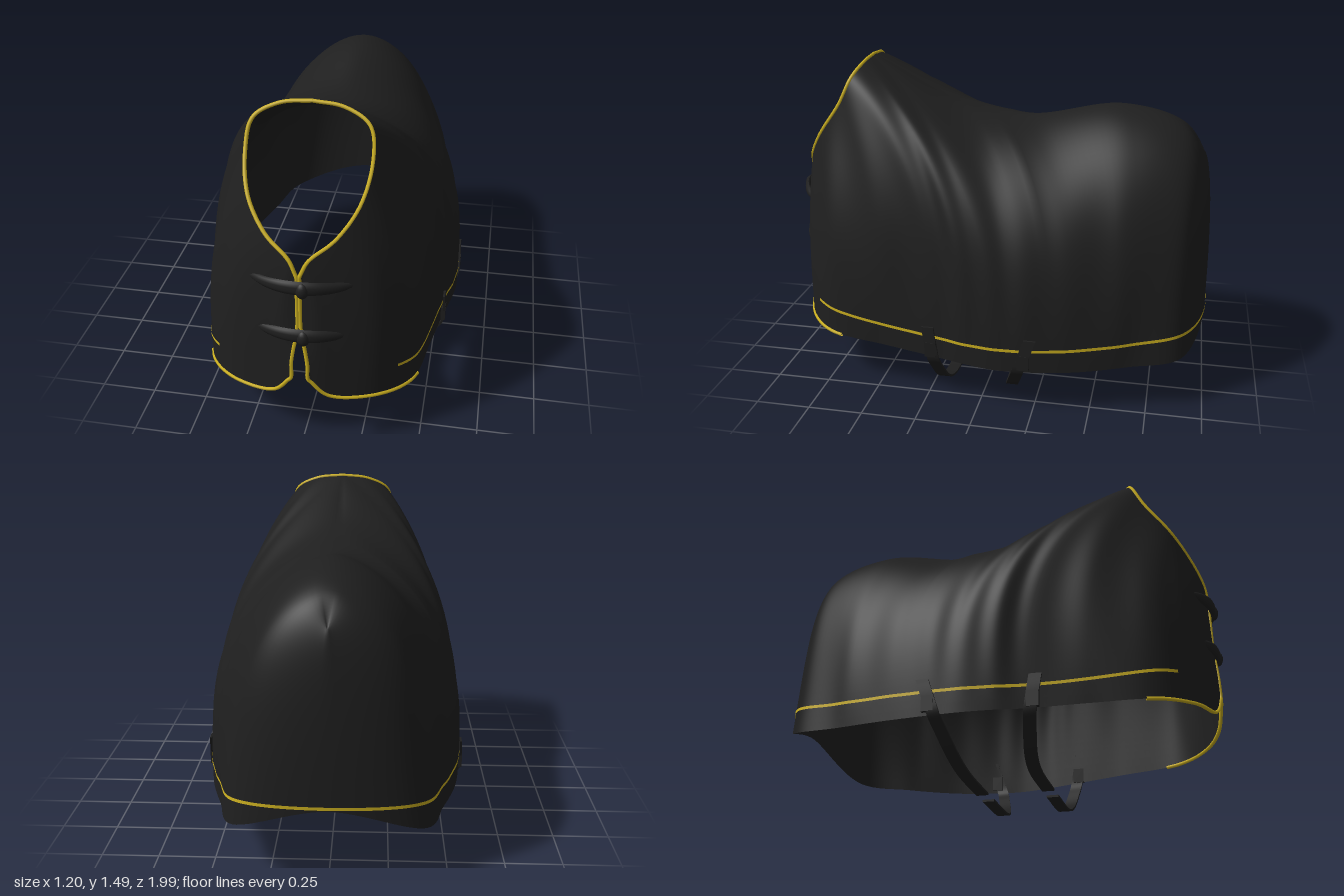
import * as THREE from 'three';
import { mergeGeometries, mergeVertices } from 'three/addons/utils/BufferGeometryUtils.js';

const V = (x, y, z) => new THREE.Vector3(x, y, z);
const { clamp, lerp } = THREE.MathUtils;
const cloth = new THREE.MeshStandardMaterial({ color: 0x1f1f1f, side: THREE.DoubleSide });
cloth.name = 'black cloth';
const piping = new THREE.MeshStandardMaterial({ color: 0xccb020, side: THREE.DoubleSide });
piping.name = 'yellow piping';

// Stations u run round the left half: chest opening 0, withers 7, tail 12
const WITHERS = 7, LAST = 12;
const spline = (points) => new THREE.CatmullRomCurve3(points.map((p) => V(...p)));
const neck = spline([[.006, .88, .958], [.04, .95, .945], [.14, 1.03, .9], [.225, 1.15, .82],
  [.257, 1.3, .71], [.235, 1.415, .655], [.13, 1.472, .625], [0, 1.487, .62]]);
const ridge = spline([[0, 1.487, .62], [0, 1.29, .22], [0, 1.23, -.1], [0, 1.3, -.55], [0, 1.23, -.83], [0, 1.1, -.935]]);
// the last hem point mirrors the one before the tail
const hem = spline([[.036, .38, .972], [.12, .285, .95], [.32, .255, .87], [.45, .24, .73], [.505, .225, .45],
  [.545, .21, .2], [.575, .205, .06], [.592, .2, -.08], [.585, .2, -.22], [.555, .205, -.42],
  [.485, .22, -.66], [.4, .245, -.895], [0, .36, -.99], [-.4, .245, -.895]]);

// Column from neckline or ridge (v = 0) to hem (v = 1): an arch that widens fast, then hangs
function column(u) {
  const top = u <= WITHERS ? neck.getPoint(u / WITHERS) : ridge.getPoint((u - WITHERS) / (LAST - WITHERS));
  const low = hem.getPoint(u / (LAST + 1));
  const roundness = u < 1 ? 0.93 + 19 * (1 - u) ** 4 : lerp(0.93, 0.6, clamp((u - WITHERS) / 1.5, 0, 1));
  const corner = Math.max(0, 1 - Math.abs(u - 11.1) / 1.3);
  return (v) => {
    const drop = v ** 1.5;
    const spread = (1 - (1 - drop) ** 3) ** roundness;
    const fold = Math.sin(Math.PI * v) * Math.sin(u * 4.6 + v * 3) * Math.sin(u * 1.7 + 1);
    const waist = 1 + 0.018 * fold - 0.1 * corner * Math.sin(Math.PI * drop); // hind corners flare at the hem
    return V(lerp(top.x, low.x, spread) * waist, lerp(top.y, low.y, drop), lerp(top.z, low.z, spread));
  };
}

// Grid surface from rows of points
function grid(rows) {
  const n = rows[0].length, index = [];
  for (let i = 0; i < rows.length - 1; i++) for (let j = 0; j < n - 1; j++) {
    const a = i * n + j, b = a + n;
    index.push(a, a + 1, b, b, a + 1, b + 1);
  }
  const g = new THREE.BufferGeometry().setFromPoints(rows.flat());
  g.setIndex(index);
  return g;
}

// Left half plus its mirror image, welded along the middle
function bothSides(g) {
  const m = g.clone().scale(-1, 1, 1);
  m.setIndex(Array.from(m.index.array).reverse());
  const whole = mergeVertices(mergeGeometries([g, m]), 1e-4);
  whole.computeVertexNormals();
  return whole;
}

// Flat strap along a curve, its width lying along z
function strap(points, width, thick) {
  const curve = new THREE.CatmullRomCurve3(points);
  const across = V(0, 0, 1);
  const g = new THREE.BoxGeometry(width, thick, 1, 1, 1, 32);
  const pos = g.attributes.position;
  for (let i = 0; i < pos.count; i++) {
    const t = pos.getZ(i) + 0.5;
    const normal = curve.getTangent(t).cross(across).normalize();
    const q = curve.getPoint(t).addScaledVector(across, pos.getX(i)).addScaledVector(normal, pos.getY(i));
    pos.setXYZ(i, q.x, q.y, q.z);
  }
  g.computeVertexNormals();
  return g;
}

// Padded strap across the chest, sinking into the cloth at both ends
function chestStrap(y) {
  const path = new THREE.CatmullRomCurve3(Array.from({ length: 7 }, (_, i) => {
    const x = -0.21 + i * 0.07;
    return V(x, y + 0.008 * Math.cos(x * 12), 0.974 - 2.1 * x * x);
  }));
  const g = new THREE.TubeGeometry(path, 32, 0.032, 10);
  const pos = g.attributes.position;
  for (let i = 0; i < pos.count; i++) {
    const t = Math.floor(i / 11) / 32, c = path.getPointAt(t);
    const k = 0.45 + 0.55 * Math.sin(Math.PI * t);
    pos.setY(i, lerp(c.y, pos.getY(i), k));
    pos.setZ(i, lerp(c.z, pos.getZ(i), k * 0.5));
  }
  g.computeVertexNormals();
  return g;
}

export function createModel() {
  const model = new THREE.Group();
  model.name = 'horseRug';
  const add = (name, geometry, material) => {
    const mesh = new THREE.Mesh(geometry, material);
    mesh.name = name;
    model.add(mesh);
    return mesh;
  };

  // Main rug
  const rows = [];
  for (let i = 0; i <= 144; i++) {
    const col = column((i / 144) * LAST);
    rows.push(Array.from({ length: 41 }, (_, j) => col(j / 40)));
  }
  add('rugBody', bothSides(grid(rows)), cloth);

  // Piping along the front hem, chest opening and neckline
  const edge = [];
  for (let u = 3.2; u > 0.05; u -= 0.2) edge.push(column(u)(1));
  for (let v = 1; v > 0.05; v -= 0.1) edge.push(column(0)(v));
  for (let u = 0; u <= WITHERS; u += 0.25) edge.push(column(u)(0));
  for (const s of [1, -1]) {
    const path = new THREE.CatmullRomCurve3(edge.map((p) => V(p.x * s, p.y, p.z)));
    add(s > 0 ? 'leftPiping' : 'rightPiping', new THREE.TubeGeometry(path, 220, 0.0085, 6), piping);
  }

  // Thin stripe above the hem, from the shoulder round the tail
  const stripe = [];
  for (let i = 0; i <= 120; i++) {
    const col = column(lerp(2.5, LAST, i / 120));
    const top = col(0).y, low = col(1);
    const y = 0.304 + 0.075 * ((low.z + 0.1) / 0.93) ** 2;
    stripe.push([y + 0.007, y - 0.007].map((h) => {
      const p = col(((top - h) / (top - low.y)) ** (2 / 3));
      return p.addScaledVector(V(p.x, 0, p.z * Math.abs(p.z) ** 3).normalize(), 0.004);
    }));
  }
  add('hemStripe', bothSides(grid(stripe)), piping);

  // Two chest fastenings, each with a buckle in the middle
  for (const [name, y] of [['upper', 0.83], ['lower', 0.595]]) {
    add(name + 'ChestStrap', chestStrap(y), cloth);
    const buckle = add(name + 'Buckle', new THREE.SphereGeometry(1, 16, 12), cloth);
    buckle.scale.set(0.028, 0.037, 0.026);
    buckle.position.set(0.02, y, 0.974);
  }

  // Belly straps: two a side, hanging over the hem and turning in under the belly
  const hang = [[.555, .36], [.558, .28], [.552, .2], [.52, .15], [.44, .06], [.34, .02], [.05, .01]];
  for (const [side, s] of [['left', 1], ['right', -1]]) {
    for (const [end, out, zLow, zHigh] of [['Front', -.008, .185, .24], ['Rear', .036, -.112, -.235]]) {
      const points = hang.map(([x, y]) =>
        V((x + out * Math.min(1, y / 0.2)) * s, y, lerp(zLow, zHigh, y / 0.36)));
      add(`${side}${end}BellyStrap`, strap(points, 0.055, 0.01), cloth);
      const clip = add(`${side}${end}Clip`, new THREE.BoxGeometry(0.022, 0.07, 0.052), cloth);
      clip.position.copy(points[1]).add(V(-0.004 * s, -0.03, 0));
    }
  }
  return model;
}
